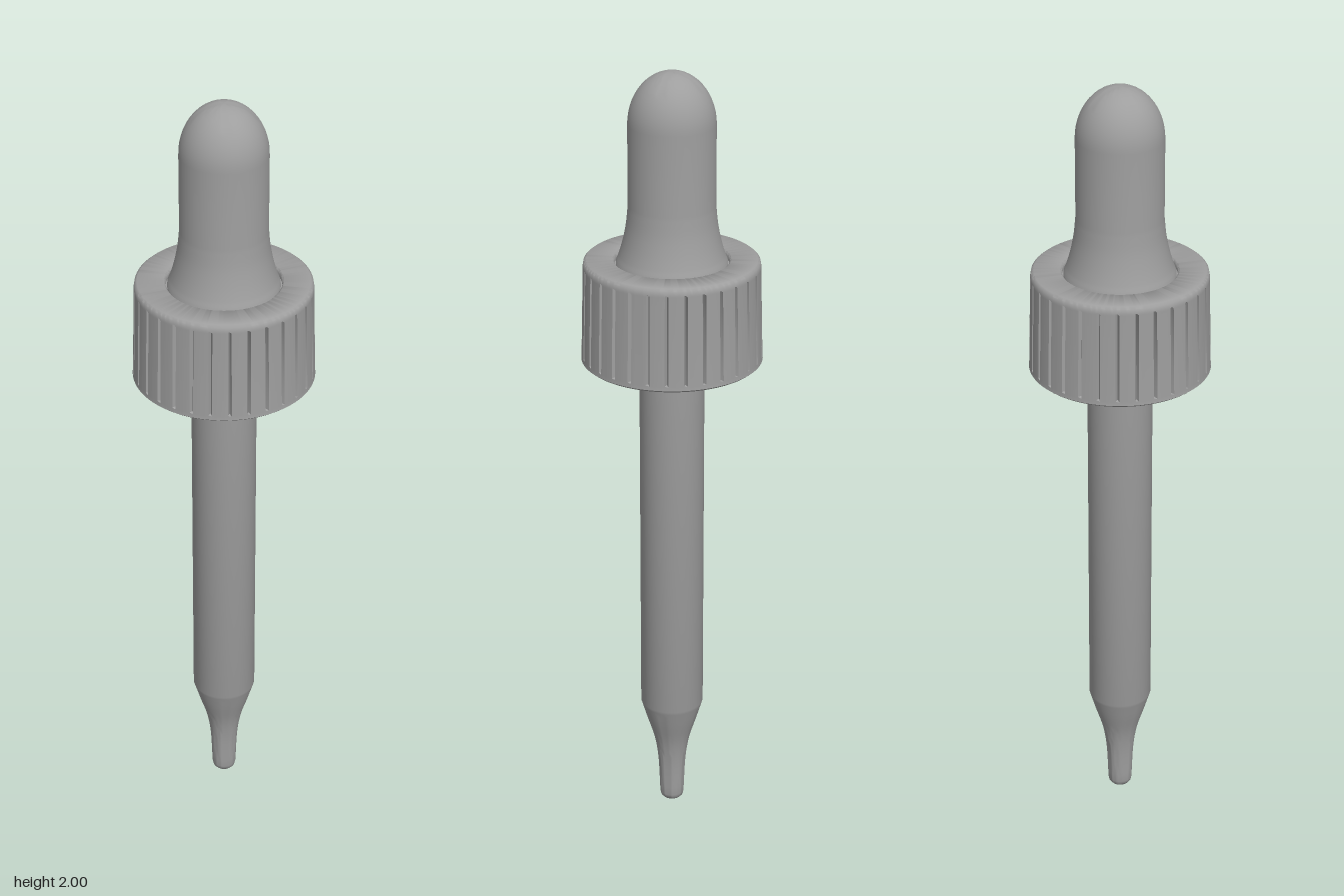
import * as THREE from 'three';
import { toCreasedNormals } from 'three/addons/utils/BufferGeometryUtils.js';

const material = new THREE.MeshStandardMaterial({ color: 0x9e9e9e });
const toPoints = (pairs) => pairs.map(([r, y]) => new THREE.Vector2(r, y));

function addPart(group, name, geometry) {
  const mesh = new THREE.Mesh(toCreasedNormals(geometry, 0.85), material);
  mesh.name = name;
  group.add(mesh);
}

// Smooth curve through a few profile points
const smooth = (pairs, n) => new THREE.SplineCurve(toPoints(pairs)).getPoints(n);

export function createModel() {
  const group = new THREE.Group();
  group.name = 'dropper';

  // Glass tube with a tapered, rounded tip
  const tube = [
    ...toPoints([[0, 0], [0.016, 0], [0.024, 0.003], [0.029, 0.009], [0.031, 0.018]]),
    ...smooth([[0.032, 0.04], [0.036, 0.12], [0.046, 0.185], [0.066, 0.25], [0.081, 0.3]], 16),
    ...toPoints([[0.081, 1.51]]),
  ];
  addPart(group, 'glassTube', new THREE.LatheGeometry(tube, 48));

  // Rubber bulb: flared foot, straight body, domed top
  const bulb = [
    ...toPoints([[0.137, 1.51]]),
    ...smooth([[0.137, 1.525], [0.131, 1.54], [0.121, 1.575], [0.112, 1.62], [0.107, 1.67]], 14),
  ];
  for (let i = 0; i <= 14; i++) {
    const a = (i / 14) * Math.PI / 2;
    bulb.push(new THREE.Vector2(0.107 * Math.cos(a), 1.87 + 0.13 * Math.sin(a)));
  }
  addPart(group, 'rubberBulb', new THREE.LatheGeometry(bulb, 48));

  // Hollow screw cap, slightly wider at the bottom, with a recess around the bulb
  const cap = toPoints([
    [0.07, 1.495], [0.181, 1.495], [0.185, 1.272], [0.189, 1.268], [0.219, 1.268], [0.225, 1.273], [0.224, 1.283],
    [0.224, 1.285], [0.218, 1.51], [0.218, 1.514], [0.216, 1.525], [0.21, 1.53],
    [0.145, 1.53], [0.141, 1.526], [0.141, 1.514], [0.1, 1.514],
  ]);
  const grooves = 30, steps = 10;
  const capGeometry = new THREE.LatheGeometry(cap, grooves * steps);
  const pos = capGeometry.attributes.position;
  // Press the grip grooves into the outer wall
  for (let i = 0; i < pos.count; i++) {
    const ring = i % cap.length;
    const step = Math.floor(i / cap.length) % steps;
    if ((ring === 7 || ring === 8) && step === 0) {
      const k = 1 - 0.009 / cap[ring].x;
      pos.setX(i, pos.getX(i) * k);
      pos.setZ(i, pos.getZ(i) * k);
    }
  }
  addPart(group, 'ribbedCap', capGeometry);

  return group;
}
